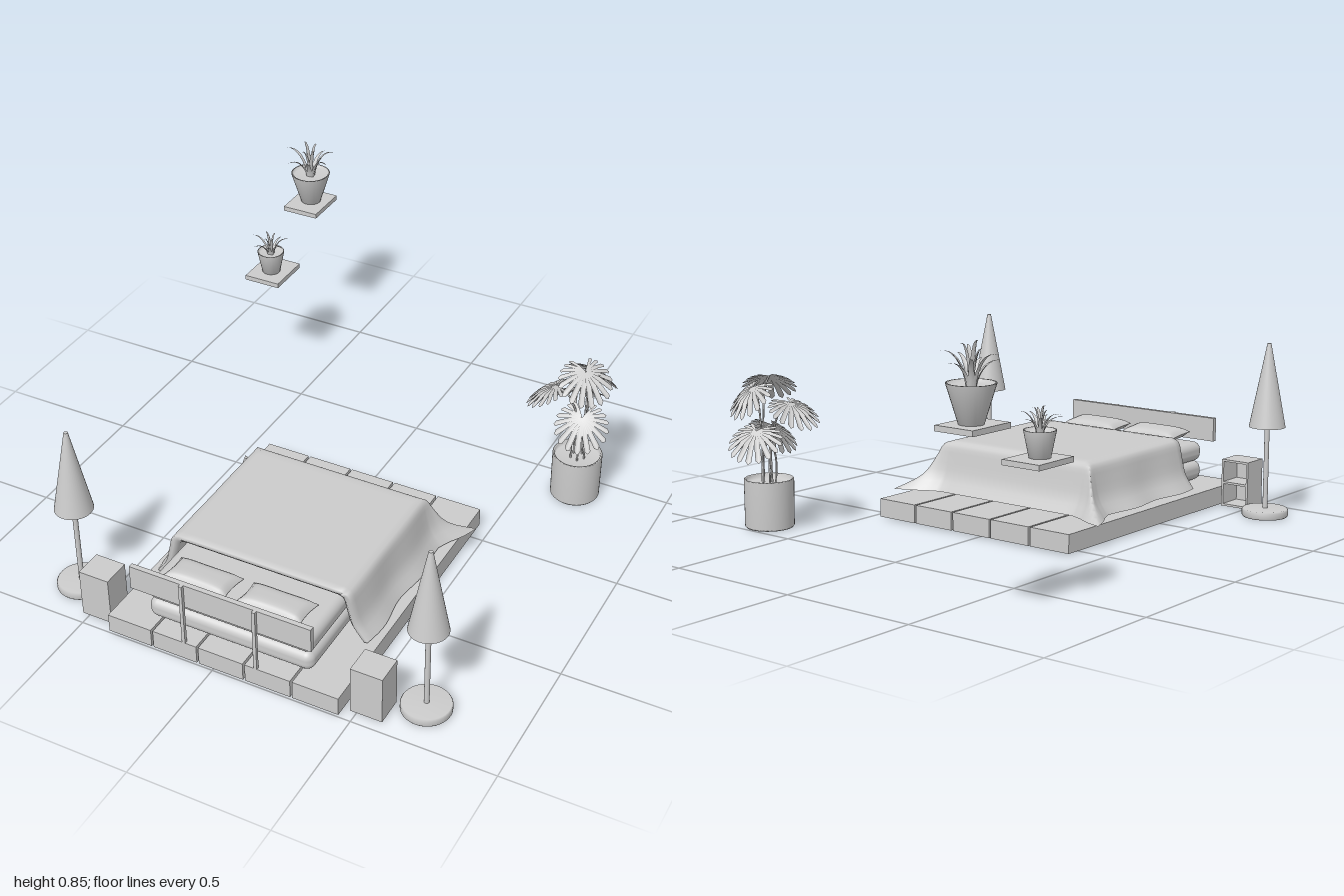
import * as THREE from 'three';
import { mergeVertices } from 'three/addons/utils/BufferGeometryUtils.js';
import { RoundedBoxGeometry } from 'three/addons/geometries/RoundedBoxGeometry.js';

const mat = new THREE.MeshStandardMaterial({ color: 0xcccccc });
const thin = new THREE.MeshStandardMaterial({ color: 0xcccccc, side: THREE.DoubleSide });
const V = (x, y, z) => new THREE.Vector3(x, y, z);

function add(parent, name, geo, x = 0, y = 0, z = 0, m = mat) {
  const mesh = new THREE.Mesh(geo, m);
  mesh.name = name;
  mesh.position.set(x, y, z);
  parent.add(mesh);
  return mesh;
}

// Box given by its min and max on each axis
function box(parent, name, x0, x1, y0, y1, z0, z1) {
  return add(parent, name, new THREE.BoxGeometry(x1 - x0, y1 - y0, z1 - z0),
    (x0 + x1) / 2, (y0 + y1) / 2, (z0 + z1) / 2);
}

function subgroup(parent, name, x = 0, y = 0, z = 0) {
  const g = new THREE.Group();
  g.name = name;
  g.position.set(x, y, z);
  parent.add(g);
  return g;
}

const lathe = (pts, n = 32) => new THREE.LatheGeometry(pts.map(p => new THREE.Vector2(p[0], p[1])), n);

// Smooth sheet through rows of points
function sheet(rows) {
  const n = rows[0].length, pos = [], idx = [];
  rows.forEach(r => r.forEach(p => pos.push(p.x, p.y, p.z)));
  for (let j = 0; j < rows.length - 1; j++) for (let i = 0; i < n - 1; i++) {
    const a = j * n + i, b = a + 1, c = a + n, d = c + 1;
    idx.push(a, c, b, b, c, d);
  }
  const g = new THREE.BufferGeometry();
  g.setAttribute('position', new THREE.Float32BufferAttribute(pos, 3));
  g.setIndex(idx);
  g.computeVertexNormals();
  return g;
}

// Blanket: flat top, hanging over both sides and the foot, flared at the foot corners
function blanketGeometry() {
  const drape = new THREE.CatmullRomCurve3([V(0, 0.268, 0), V(0.028, 0.255, 0), V(0.042, 0.21, 0),
    V(0.062, 0.14, 0), V(0.1, 0.088, 0)]);
  const A = 0.3, foot = 0.2, head = 0.738, cx = 0.03, D = 12;
  const across = [], along = [];
  for (let i = -D; i < 0; i++) across.push([-1, -i / D]);
  for (let i = 0; i <= 16; i++) across.push([-1 + i / 8, 0]);
  for (let i = 1; i <= D; i++) across.push([1, i / D]);
  for (let i = D; i > 0; i--) along.push([foot, i / D, 0]);
  for (let i = 0; i <= 20; i++) along.push([foot + (head - foot) * i / 20, 0, 0]);
  along.push([head + 0.002, 0, 0.012], [head - 0.01, 0, 0.026], [head - 0.06, 0, 0.03]);
  const rows = along.map(([z, qz, lip]) => across.map(([s, qx]) => {
    const px = drape.getPoint(qx), pz = drape.getPoint(qz), q = Math.max(qx, qz);
    const flare = 0.07 * qx * qz * q;
    const wave = 0.008 * qx * qx * Math.sin(z * 22) + 0.004 * qz * qz * Math.sin(s * 9);
    const y = Math.max(0.084, drape.getPoint(q).y - lip * (1 - qx));
    return V(cx + s * A + Math.sign(s) * (px.x + flare + wave - lip) * (qx > 0 ? 1 : 0), y,
      z - pz.x * 0.85 - flare);
  }));
  return sheet(rows);
}

// Pillow: box puffed in the middle, with pinched edges
function pillowGeometry(w, h, d) {
  const g = new THREE.BoxGeometry(2, 2, 2, 18, 2, 12), p = g.attributes.position;
  for (let i = 0; i < p.count; i++) {
    const u = p.getX(i), v = p.getZ(i);
    const puff = Math.sqrt(Math.max(0, (1 - u ** 4) * (1 - v ** 4)));
    p.setXYZ(i, u * w / 2 * (0.94 + 0.06 * v * v), p.getY(i) * h / 2 * (0.06 + 0.94 * puff),
      v * d / 2 * (0.9 + 0.1 * u * u));
  }
  g.deleteAttribute('normal');
  g.deleteAttribute('uv');
  const m = mergeVertices(g);
  m.computeVertexNormals();
  return m;
}

function makeBed(root) {
  const bed = subgroup(root, 'bed');
  // Platform boards, hollow underneath
  for (let i = 0; i < 5; i++) {
    const g = new THREE.BoxGeometry(0.164, 0.067, 1.068);
    const faces = Array.from(g.index.array);
    faces.splice(18, 6);
    g.setIndex(faces);
    add(bed, 'platformBoard', g, -0.313 + i * 0.1718, 0.0435, 0.463, thin);
  }
  for (const y of [0.115, 0.188])
    add(bed, 'mattressLayer', new RoundedBoxGeometry(0.606, 0.074, 0.725, 5, 0.03), 0.028, y, 0.578);
  add(bed, 'blanket', blanketGeometry(), 0, 0, 0, thin);
  for (const x of [-0.105, 0.168]) {
    const p = add(bed, 'pillow', pillowGeometry(0.237, 0.048, 0.125), x, 0.25, 0.865);
    p.rotation.x = -0.1;
  }
  box(bed, 'headboard', -0.302, 0.357, 0.222, 0.311, 0.968, 0.986);
  for (const x of [-0.105, 0.16]) box(bed, 'headboardPost', x - 0.006, x + 0.006, 0.077, 0.311, 0.986, 0.998);
}

// Nightstand with two open compartments facing the foot of the bed
function makeNightstand(root, x) {
  const n = subgroup(root, 'nightstand', x, 0, 0.912), w = 0.056, d = 0.051, t = 0.008;
  for (const s of [-1, 1]) box(n, 'sidePanel', s * w - (s > 0 ? t : 0), s * w + (s < 0 ? t : 0), 0.01, 0.186, -d, d);
  box(n, 'backPanel', -w + t, w - t, 0.01, 0.186, d - t, d);
  for (const y of [0.01, 0.094, 0.178]) box(n, 'shelf', -w + t, w - t, y, y + t, -d, d - t);
}

function makeLamp(root, x) {
  const l = subgroup(root, 'floorLamp', x, 0, 0.84);
  add(l, 'lampBase', lathe([[0, 0.012], [0.066, 0.012], [0.07, 0.005], [0.08, 0.005], [0.084, 0.01],
    [0.084, 0.028], [0.08, 0.034], [0, 0.035]], 40), 0, 0, 0, thin);
  add(l, 'lampPole', new THREE.CylinderGeometry(0.009, 0.009, 0.59, 16), 0, 0.33, 0);
  add(l, 'lampShade', new THREE.CylinderGeometry(0.007, 0.066, 0.305, 40, 1, true), 0, 0.488, 0, thin);
  add(l, 'shadeCap', new THREE.CylinderGeometry(0.007, 0.007, 0.004, 16), 0, 0.639, 0);
}

// Fan-shaped leaf with slit edges, growing along +z and drooping outward
function slitLeafGeometry(L) {
  const pos = [0, 0, 0], idx = [], N = 17, span = 5.4, step = span / N;
  for (let i = 0; i < N; i++) for (const [f, k] of [[0, 0.48], [0.2, 0.92], [0.5, 1], [0.8, 0.94]]) {
    const a = -span / 2 + (i + f) * step;
    const r = L * k * (0.5 + 0.5 * Math.cos(a / 2) ** 2);
    pos.push(Math.sin(a) * r, -3.2 * r * r, Math.cos(a) * r);
  }
  for (let i = 1; i < N * 4; i++) idx.push(0, i, i + 1);
  const g = new THREE.BufferGeometry();
  g.setAttribute('position', new THREE.Float32BufferAttribute(pos, 3));
  g.setIndex(idx);
  g.computeVertexNormals();
  return g;
}

function makeTallPlant(root) {
  const p = subgroup(root, 'tallPlant'), cx = 0.68, cz = -0.41;
  add(p, 'plantPot', lathe([[0, 0.004], [0.083, 0.004], [0.088, 0.01], [0.089, 0.178], [0.086, 0.181],
    [0.081, 0.178], [0.08, 0.16], [0, 0.162]], 40), cx, 0, cz, thin);
  // Each leaf: base x, y, z, heading, droop
  const leaves = [[0.69, 0.545, -0.39, 0.7, 0.45], [0.59, 0.46, -0.385, -1.6, 0.35],
    [0.62, 0.375, -0.525, -2.7, 0.5], [0.7, 0.365, -0.37, 0.2, 0.7], [0.69, 0.515, -0.47, 2.9, 0.6]];
  leaves.forEach(([x, y, z, yaw, pitch], i) => {
    const leaf = add(p, 'slitLeaf', slitLeafGeometry(0.125), x, y, z, thin);
    leaf.rotation.set(pitch, yaw, 0, 'YXZ');
    const bx = cx + 0.025 * Math.cos(i * 1.26), bz = cz + 0.025 * Math.sin(i * 1.26);
    const stem = new THREE.CatmullRomCurve3([V(bx, 0.15, bz), V(bx, 0.15 + (y - 0.15) * 0.5, bz),
      V((bx + x) / 2, y - 0.03, (bz + z) / 2), V(x, y, z)]);
    add(p, 'leafStem', new THREE.TubeGeometry(stem, 16, 0.0035, 6));
  });
}

// Folded, tapering blade that arcs outward along +z
function bladeGeometry(reach, height, width) {
  const rows = [];
  for (let i = 0; i <= 8; i++) {
    const t = i / 8, w = width * (1 - t ** 1.6) * (0.8 + 0.5 * t);
    const z = reach * (0.15 + 0.85 * t ** 1.5), y = height * Math.sin(t * 1.75) / Math.sin(1.57);
    rows.push([V(w, y, z - w * 0.4), V(0, y, z + w * 0.3), V(-w, y, z - w * 0.4)]);
  }
  return sheet(rows);
}

// Wall shelf carrying a tapered pot with spiky leaves
function makeShelfPlant(root, z0, z1, zc, y, rTop, rBottom, h, reach, tall) {
  const g = subgroup(root, 'shelfPlant'), x = -0.676;
  box(g, 'wallShelf', -0.745, -0.604, y - 0.018, y, z0, z1);
  add(g, 'taperedPot', lathe([[0, 0], [rBottom, 0], [rTop, h], [rTop * 0.92, h],
    [rTop * 0.86, h - 0.012], [0, h - 0.01]], 32), x, y, zc, thin);
  for (let i = 0; i < 11; i++) {
    const inner = i > 6, k = inner ? 0.35 : 0.8 + 0.2 * ((i * 3) % 4) / 3;
    const top = inner ? 0.8 + 0.07 * (i - 7) : 0.55 + 0.1 * (i % 3);
    const blade = add(g, 'spikyLeaf', bladeGeometry(reach * k, tall * top, rTop * 0.14), x, y + h - 0.012, zc, thin);
    blade.rotation.y = inner ? i * 1.7 : i * Math.PI * 2 / 7 + 0.25;
  }
}

export function createModel() {
  const root = new THREE.Group();
  root.name = 'bedroomSet';
  makeBed(root);
  makeNightstand(root, -0.466);
  makeNightstand(root, 0.536);
  makeLamp(root, -0.61);
  makeLamp(root, 0.686);
  makeTallPlant(root);
  makeShelfPlant(root, -1, -0.828, -0.922, 0.612, 0.075, 0.038, 0.12, 0.1, 0.135);
  makeShelfPlant(root, -0.693, -0.522, -0.6, 0.463, 0.051, 0.034, 0.085, 0.075, 0.088);
  return root;
}
